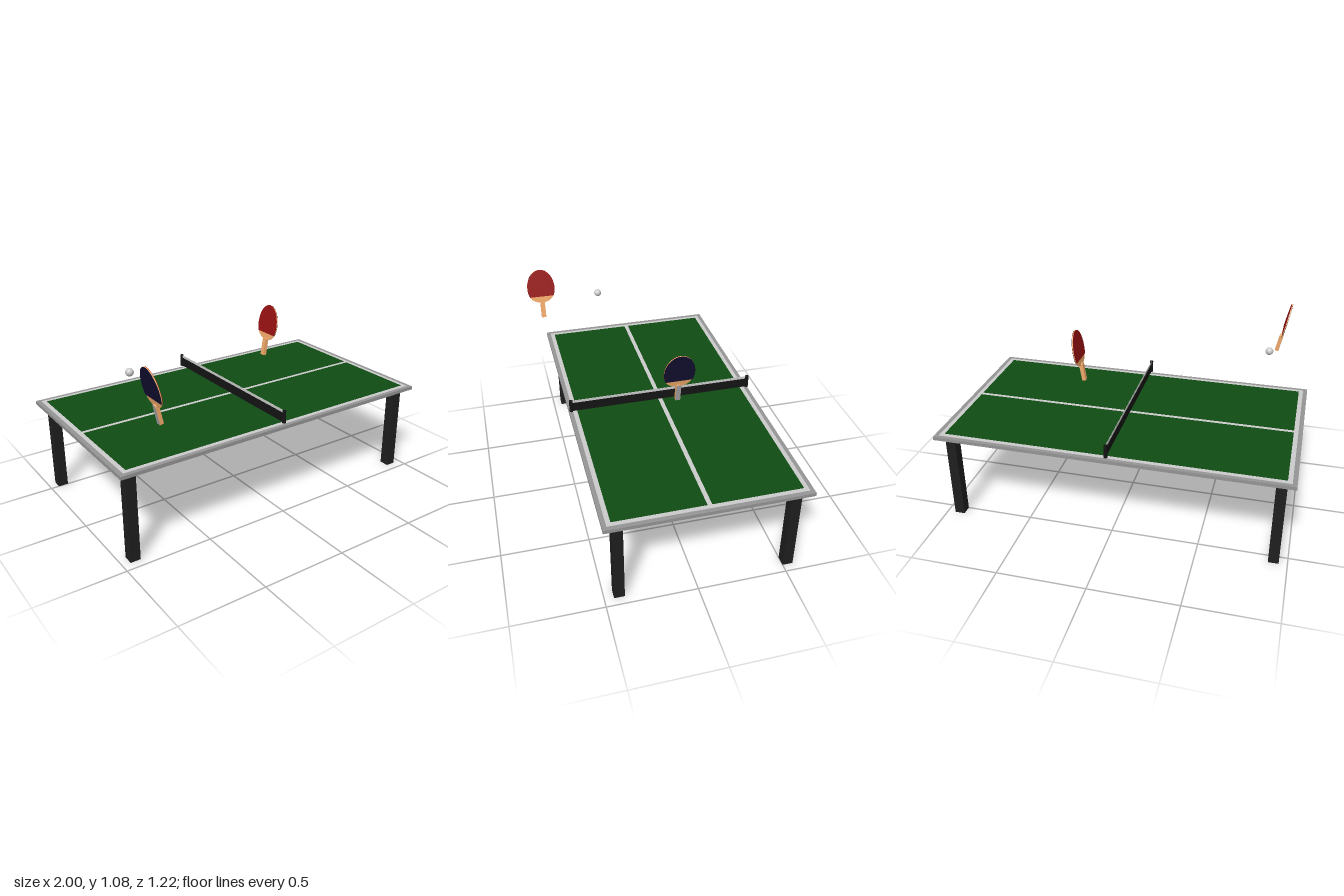
import * as THREE from 'three';

const mat = (color) => new THREE.MeshStandardMaterial({ color });
const CZ = -0.055; // table centre in z

const M = {
  frame: mat(0x949494), line: mat(0xcccccc), green: mat(0x0f4c13), black: mat(0x1e1e1e),
  net: mat(0x141414), wood: mat(0xf0a868), red: mat(0x981212), navy: mat(0x120e30), grip: mat(0xa4a4a4),
};

function box(parent, name, material, size, pos) {
  const m = new THREE.Mesh(new THREE.BoxGeometry(...size), material);
  m.name = name;
  m.position.set(...pos);
  parent.add(m);
  return m;
}

// Half width of the blade at height v above the handle's end
function bladeHalf(v) {
  const mid = 0.19;
  if (v >= mid) return 0.087 * Math.sqrt(Math.max(0, 1 - ((v - mid) / 0.118) ** 2));
  return 0.087 * Math.max(0, 1 - ((mid - v) / 0.093) ** 2.3) ** (1 / 2.3);
}

// Blade outline above height v0
function bladeShape(v0) {
  const right = [], left = [], n = 32;
  for (let i = 0; i <= n; i++) {
    const v = v0 + (0.308 - v0) * (1 - Math.cos((Math.PI * i) / n)) / 2;
    const w = bladeHalf(v);
    right.push(new THREE.Vector2(w, v));
    if (w > 1e-4) left.unshift(new THREE.Vector2(-w, v));
  }
  return new THREE.Shape(right.concat(left));
}

// Handle outline with a domed upper end
function handleShape() {
  const s = new THREE.Shape();
  s.moveTo(-0.014, 0);
  s.lineTo(0.014, 0);
  s.lineTo(0.014, 0.098);
  s.absellipse(0, 0.098, 0.014, 0.012, 0, Math.PI, false);
  s.closePath();
  return s;
}

function slab(parent, name, shape, material, z, depth) {
  const g = new THREE.ExtrudeGeometry(shape, { depth, bevelEnabled: false, curveSegments: 12 });
  const m = new THREE.Mesh(g, material);
  m.name = name;
  m.position.z = z;
  parent.add(m);
}

// Paddle whose red side faces +x (facing = 1) or -x (facing = -1)
function paddle(name, facing, tilt, pos) {
  const outer = new THREE.Group();
  const p = new THREE.Group();
  outer.name = name;
  p.rotation.y = (facing * Math.PI) / 2;
  outer.rotation.z = tilt;
  outer.position.set(...pos);
  outer.add(p);
  slab(p, 'blade', bladeShape(0.097), M.wood, -0.0025, 0.005);
  slab(p, 'redRubber', bladeShape(0.136), M.red, 0.0025, 0.0018);
  slab(p, 'darkRubber', bladeShape(0.136), M.navy, -0.0043, 0.0018);
  slab(p, 'handle', handleShape(), M.wood, -0.01, 0.021);
  slab(p, 'handleBack', handleShape(), M.grip, -0.011, 0.001);
  return outer;
}

export function createModel() {
  const model = new THREE.Group();

  // Table top with painted lines and playing field
  const table = new THREE.Group();
  table.name = 'table';
  model.add(table);
  box(table, 'tableTop', M.frame, [2, 0.02, 1.106], [0, 0.532, CZ]);
  box(table, 'borderLines', M.line, [1.95, 0.002, 1.06], [0, 0.5422, CZ]);
  for (const s of [-1, 1])
    box(table, 'playingField', M.green, [1.9, 0.002, 0.4925], [0, 0.5436, CZ + s * 0.2588]);

  // Legs
  for (const x of [-0.924, 0.924])
    for (const z of [-0.474, 0.474])
      box(table, 'leg', M.black, [0.058, 0.523, 0.058], [x, 0.2615, CZ + z]);

  // Net with top band and end posts
  const net = new THREE.Group();
  net.name = 'net';
  model.add(net);
  box(net, 'netMesh', M.net, [0.002, 0.056, 1.08], [0, 0.585, CZ]);
  box(net, 'netBand', M.line, [0.002, 0.016, 1.08], [0, 0.621, CZ]);
  for (const s of [-1, 1]) {
    const post = new THREE.Mesh(new THREE.CylinderGeometry(0.0105, 0.0105, 0.074, 20), M.net);
    post.name = 'netPost';
    post.position.set(0, 0.593, CZ + s * 0.541);
    net.add(post);
  }

  // Paddles and ball
  model.add(paddle('leftPaddle', -1, -0.165, [0.274, 0.731, -0.075]));
  model.add(paddle('rightPaddle', 1, 0.217, [-0.786, 0.778, 0.525]));
  const ball = new THREE.Mesh(new THREE.SphereGeometry(0.022, 32, 20), M.line);
  ball.name = 'ball';
  ball.position.set(-0.76, 0.921, 0.17);
  model.add(ball);

  return model;
}
